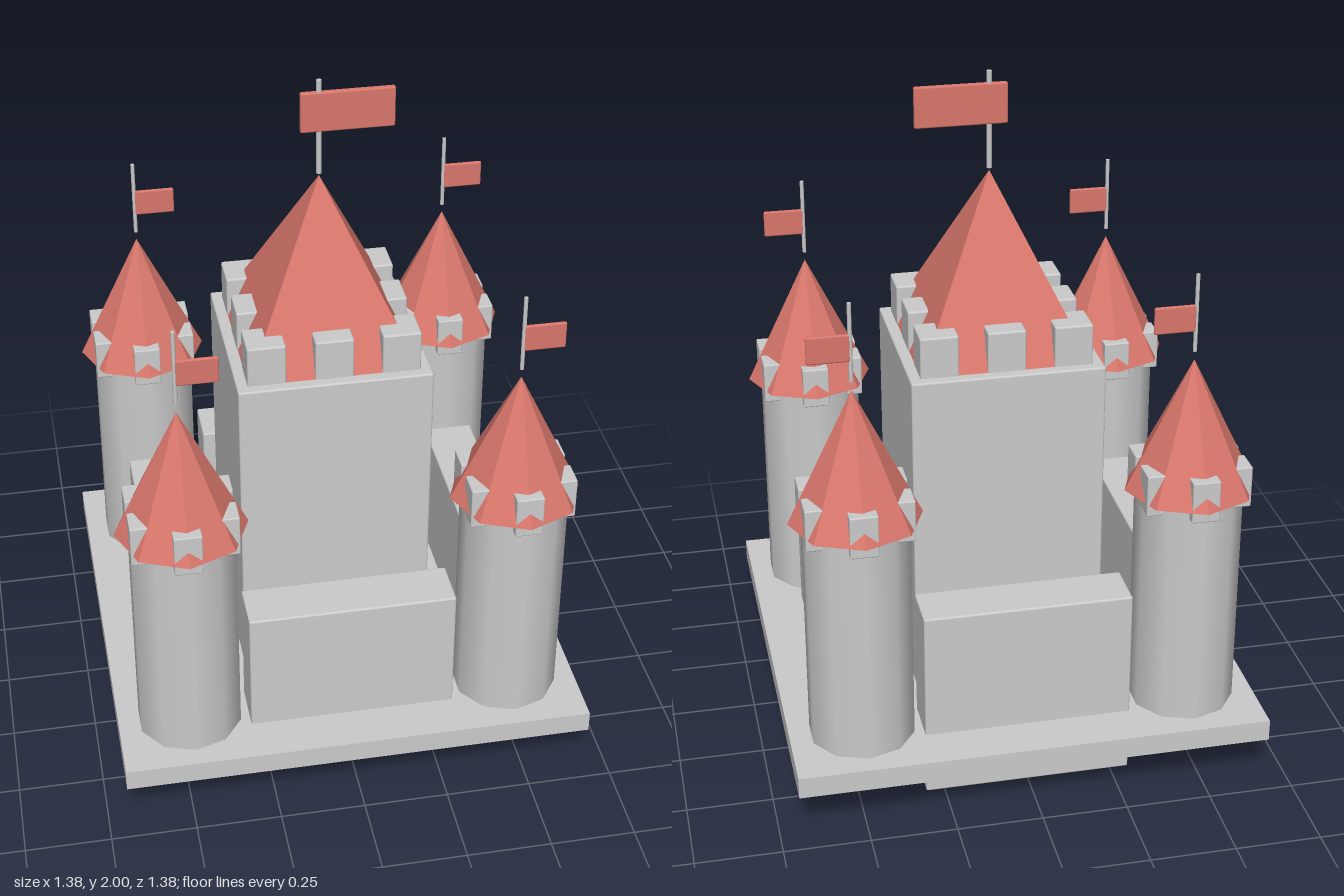
import * as THREE from 'three';
import { RoundedBoxGeometry } from 'three/addons/geometries/RoundedBoxGeometry.js';

const stone = new THREE.MeshStandardMaterial({ color: 0xcccccc });
const stoneFlat = new THREE.MeshStandardMaterial({ color: 0xcccccc, flatShading: true });
const red = new THREE.MeshStandardMaterial({ color: 0xd9776c });
const redFlat = new THREE.MeshStandardMaterial({ color: 0xd9776c, flatShading: true });

function add(parent, name, geometry, material, x, y, z) {
  const mesh = new THREE.Mesh(geometry, material);
  mesh.name = name;
  mesh.position.set(x, y, z);
  parent.add(mesh);
  return mesh;
}

// Block with softened edges, given by its centre in x and z and its bottom and top
function block(parent, name, w, d, y0, y1, x, z, material = stone, radius = 0.006) {
  const geometry = new RoundedBoxGeometry(w, y1 - y0, d, 2, radius);
  return add(parent, name, geometry, material, x, (y0 + y1) / 2, z);
}

// Thin pole with a flag reaching from x0 to x1
function banner(parent, name, poleRadius, y0, y1, x0, x1, f0, f1, thick) {
  const group = new THREE.Group();
  group.name = name;
  add(group, 'pole', new THREE.CylinderGeometry(poleRadius, poleRadius, y1 - y0, 8), stone, 0, (y0 + y1) / 2, 0);
  block(group, 'flag', x1 - x0, thick, f0, f1, (x0 + x1) / 2, 0, red, 0.005);
  parent.add(group);
}

function cornerTower(x, z) {
  const tower = new THREE.Group();
  tower.name = 'cornerTower';
  tower.position.set(x, 0, z);
  add(tower, 'towerShaft', new THREE.CylinderGeometry(0.155, 0.155, 0.71, 10), stone, 0, 0.545, 0);
  add(tower, 'towerRoof', new THREE.ConeGeometry(0.19, 0.39, 8), redFlat, 0, 1.09, 0);
  // Ring of six square merlons around the roof's edge
  for (let i = 0; i < 6; i++) {
    const a = Math.PI / 6 + (i * Math.PI) / 3;
    block(tower, 'towerMerlon', 0.08, 0.08, 0.86, 0.985, 0.13 * Math.cos(a), 0.13 * Math.sin(a), stone, 0.004);
  }
  banner(tower, 'towerBanner', 0.006, 1.31, 1.54, 0, 0.12, 1.37, 1.45, 0.012);
  return tower;
}

export function createModel() {
  const castle = new THREE.Group();
  castle.name = 'castle';

  // Ground slab
  add(castle, 'baseSlab', new THREE.BoxGeometry(1.385, 0.065, 1.385), stoneFlat, 0, 0.165, 0);

  // Curtain walls reaching down through the slab
  for (const s of [-1, 1]) {
    block(castle, 'curtainWall', 0.61, 0.15, 0, 0.585, 0, s * 0.48);
    block(castle, 'curtainWall', 0.15, 0.61, 0, 0.585, s * 0.48, 0);
  }

  // Corner towers
  for (const x of [-0.48, 0.48]) for (const z of [-0.48, 0.48]) castle.add(cornerTower(x, z));

  // Central keep with its pyramid roof
  const keep = new THREE.Group();
  keep.name = 'keep';
  block(keep, 'keepBody', 0.565, 0.565, 0.17, 1.19, 0, 0);
  const roof = new THREE.ConeGeometry(0.25 * Math.SQRT2, 0.52, 4);
  roof.rotateY(Math.PI / 4);
  add(keep, 'keepRoof', roof, redFlat, 0, 1.448, 0);

  // Three merlons along each side
  for (let i = -1; i <= 1; i++) {
    for (let j = -1; j <= 1; j++) {
      if (i || j) block(keep, 'keepMerlon', 0.112, 0.112, 1.185, 1.312, i * 0.195, j * 0.195);
    }
  }
  banner(keep, 'keepBanner', 0.008, 1.715, 2.0, -0.053, 0.215, 1.845, 1.965, 0.018);
  castle.add(keep);

  return castle;
}
